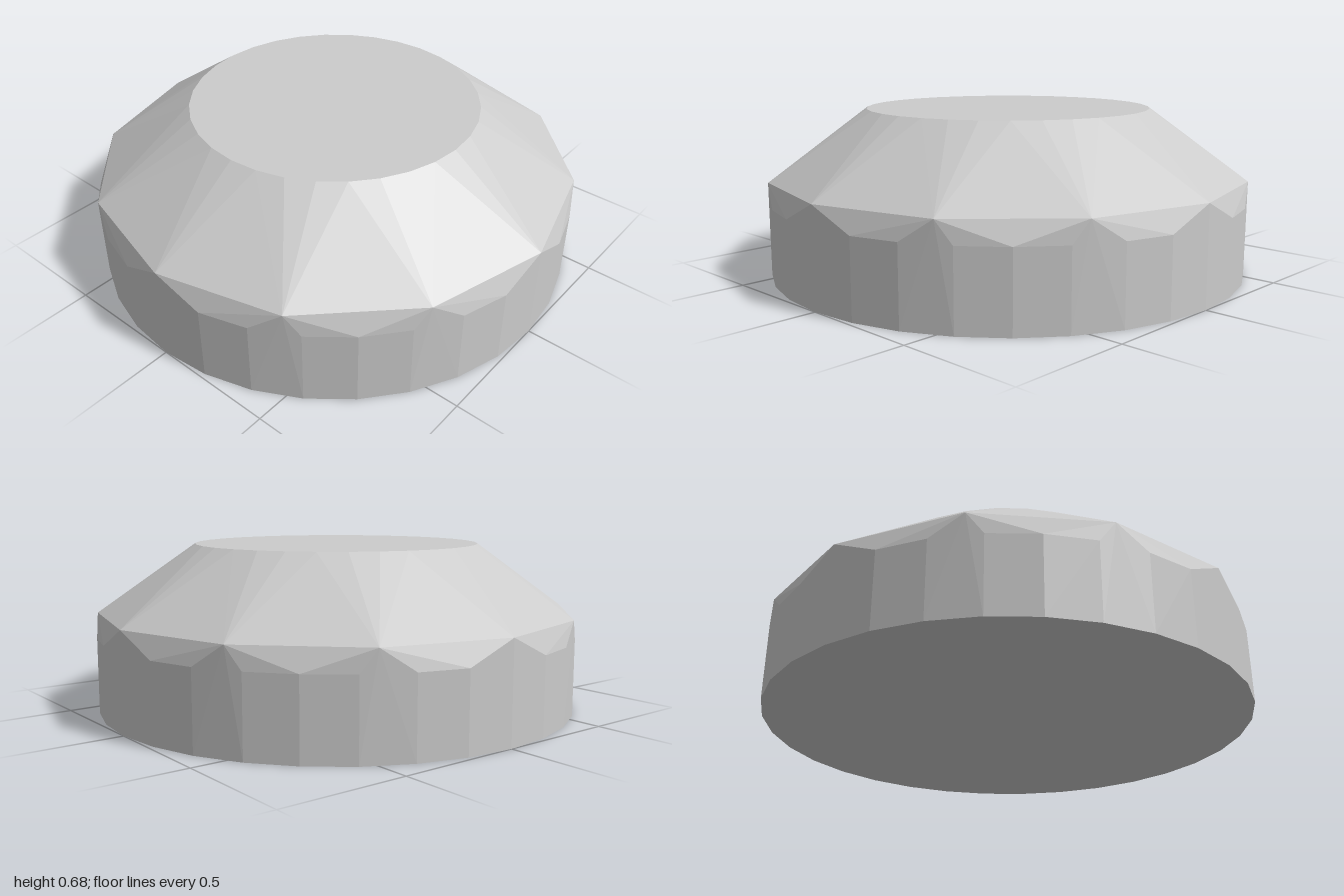
import * as THREE from 'three';
import { ConvexGeometry } from 'three/addons/geometries/ConvexGeometry.js';

// Points of a regular polygon at one height, starting on the z axis
function ring(count, radius, y) {
  return Array.from({ length: count }, (_, i) => {
    const a = (i / count) * Math.PI * 2;
    return new THREE.Vector3(Math.sin(a) * radius, y, Math.cos(a) * radius);
  });
}

export function createModel() {
  const group = new THREE.Group();
  group.name = 'facetedPuck';

  // Round wall, twelve-cornered shoulder and round flat top, skinned as one convex solid
  const geometry = new ConvexGeometry([
    ...ring(32, 1, 0),
    ...ring(32, 1, 0.31),
    ...ring(12, 1, 0.397),
    ...ring(32, 0.595, 0.68),
  ]);
  const material = new THREE.MeshStandardMaterial({ color: 0xcccccc, flatShading: true });
  const body = new THREE.Mesh(geometry, material);
  body.name = 'body';
  group.add(body);
  return group;
}
